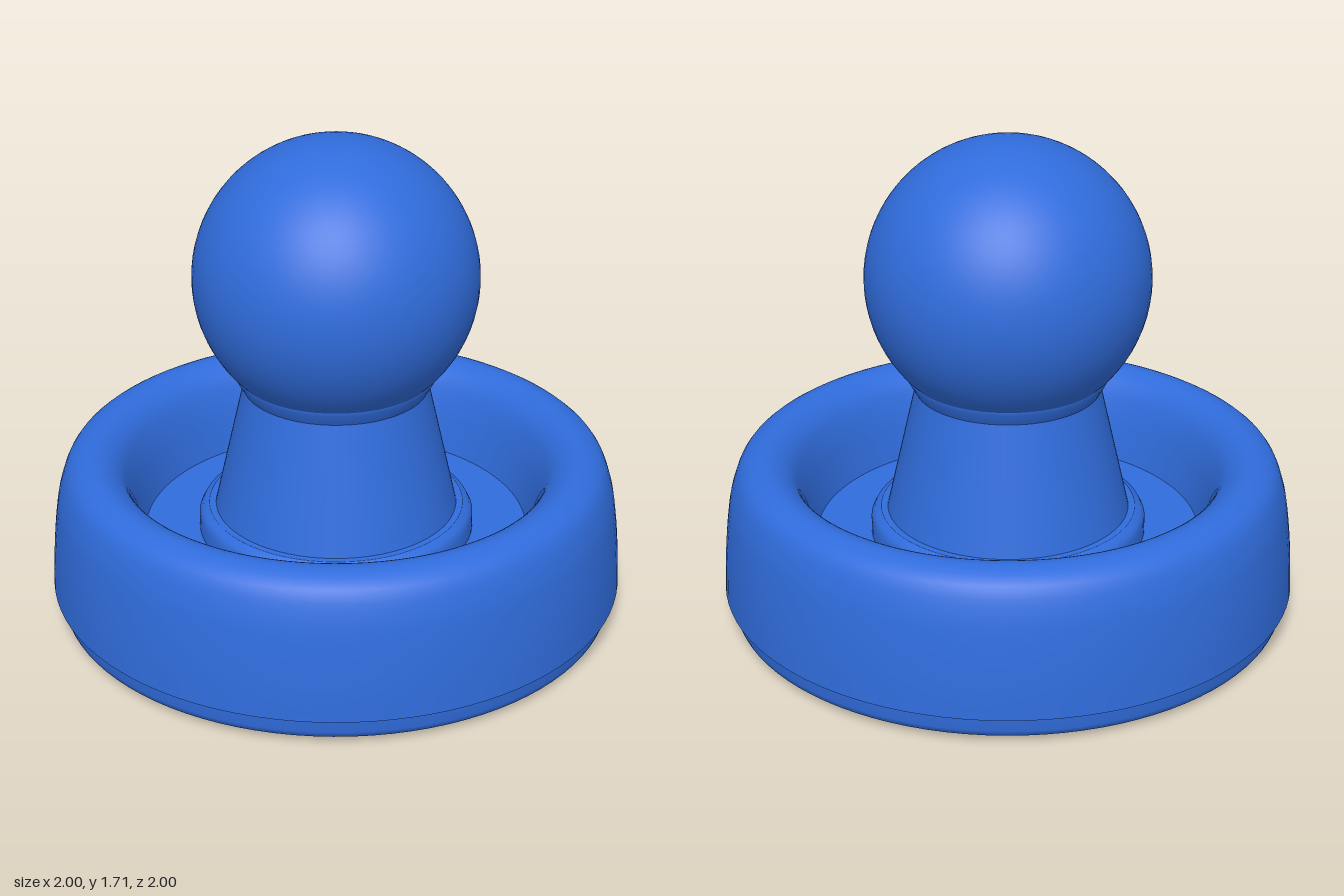
import * as THREE from 'three';

const blue = new THREE.MeshStandardMaterial({ color: 0x306cdc });
blue.name = 'blue';

// Surface of revolution made of smooth profile runs that meet in sharp edges
function turned(name, runs) {
  const part = new THREE.Group();
  part.name = name;
  for (const [label, points] of Object.entries(runs)) {
    const profile = points.map(([r, y]) => new THREE.Vector2(r, y));
    const mesh = new THREE.Mesh(new THREE.LatheGeometry(profile, 96), blue);
    mesh.name = label;
    part.add(mesh);
  }
  return part;
}

// Smooth a few profile points into a rounded run
function rounded(points, steps = 28) {
  const curve = new THREE.CatmullRomCurve3(
    points.map(([r, y]) => new THREE.Vector3(r, y, 0)), false, 'centripetal');
  return curve.getPoints(steps).map((p) => [p.x, p.y]);
}

export function createModel() {
  const model = new THREE.Group();
  model.name = 'airHockeyMallet';

  // Sliding pad, set in slightly from the base
  model.add(turned('slidingPad', {
    padBottom: [[0, 0], [0.9, 0.005]],
    padEdge: [[0.9, 0.005], [0.945, 0.012], [0.968, 0.025], [0.975, 0.045], [0.978, 0.1]],
  }));

  // Cup-shaped base with a rounded rim and a sunken floor
  model.add(turned('base', {
    baseLip: [[0.975, 0.1], [1, 0.1]],
    rim: rounded([
      [1, 0.1], [0.994, 0.22], [0.98, 0.36], [0.962, 0.46], [0.925, 0.545], [0.86, 0.58],
      [0.81, 0.575], [0.755, 0.535], [0.718, 0.46], [0.692, 0.37], [0.67, 0.28],
    ], 40),
    floor: [[0.67, 0.28], [0.48, 0.28]],
  }));

  // Low collar around the foot of the handle
  model.add(turned('collar', {
    collarSide: [[0.48, 0.28], [0.48, 0.335], [0.468, 0.358], [0.445, 0.37]],
    collarTop: [[0.445, 0.37], [0.41, 0.37]],
  }));

  // Tapered neck that flares out below the knob
  model.add(turned('neck', {
    taper: [[0.422, 0.37], [0.32, 0.82]],
    flare: [[0.32, 0.82], [0.345, 0.865], [0.342, 0.882]],
    neckTop: [[0.342, 0.882], [0.3, 0.882]],
  }));

  // Ball-shaped knob
  const knob = new THREE.Mesh(new THREE.SphereGeometry(0.487, 64, 40), blue);
  knob.name = 'knob';
  knob.position.y = 1.22;
  model.add(knob);

  return model;
}
